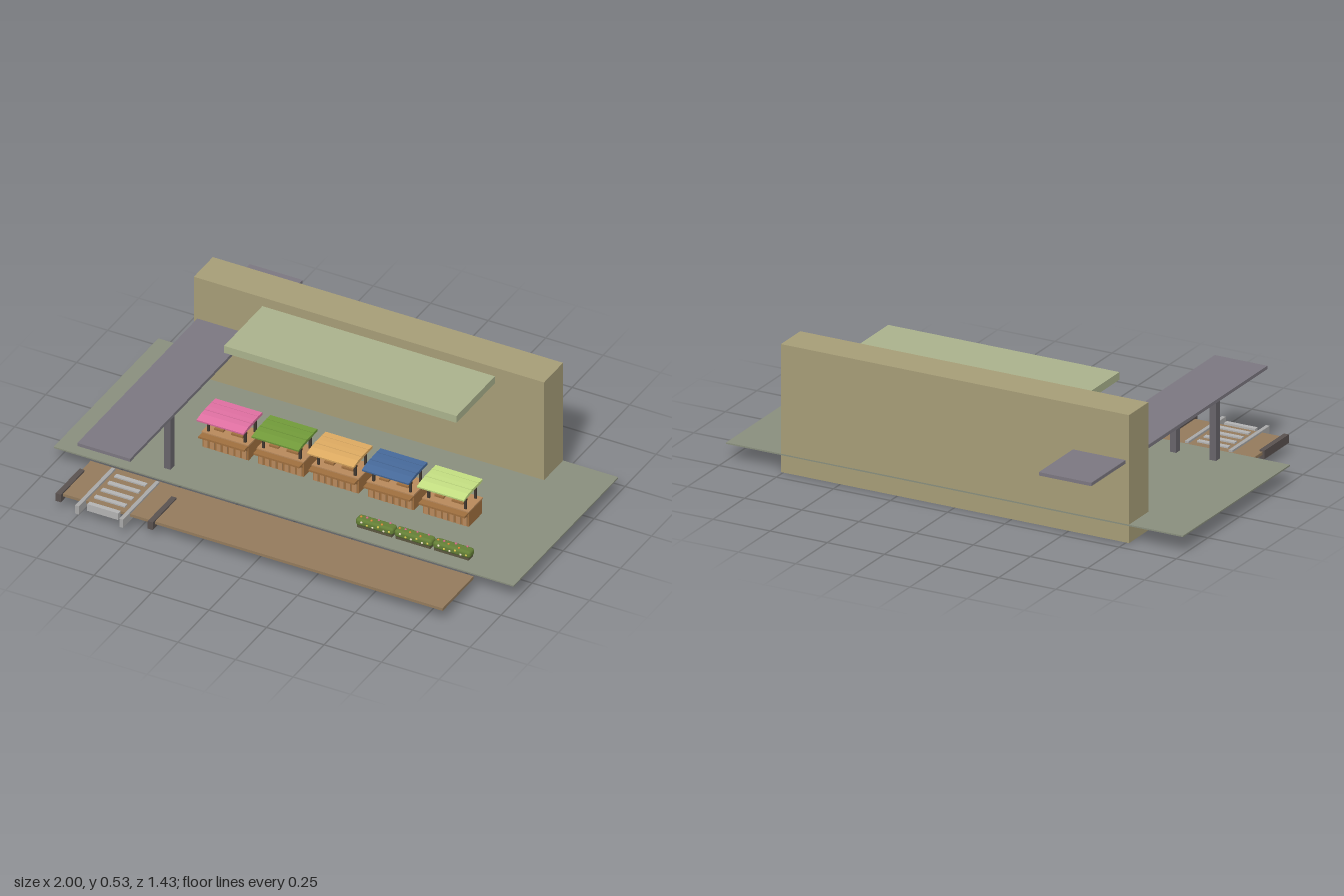
import * as THREE from 'three';
import { RoundedBoxGeometry } from 'three/addons/geometries/RoundedBoxGeometry.js';

const materials = new Map();
function paint(color) {
  if (!materials.has(color)) materials.set(color, new THREE.MeshStandardMaterial({ color }));
  return materials.get(color);
}

// Box given by its extents on each axis
function box(parent, name, [x0, x1], [y0, y1], [z0, z1], color) {
  const mesh = new THREE.Mesh(new THREE.BoxGeometry(x1 - x0, y1 - y0, z1 - z0), paint(color));
  mesh.position.set((x0 + x1) / 2, (y0 + y1) / 2, (z0 + z1) / 2);
  mesh.name = name;
  parent.add(mesh);
  return mesh;
}

function group(parent, name) {
  const g = new THREE.Group();
  g.name = name;
  parent.add(g);
  return g;
}

// Prism along x from a (z, y) outline
function prism(parent, name, points, width, color) {
  const shape = new THREE.Shape(points.map(([z, y]) => new THREE.Vector2(-z, y)));
  const geo = new THREE.ExtrudeGeometry(shape, { depth: width, bevelEnabled: false });
  geo.translate(0, 0, -width / 2).rotateY(Math.PI / 2);
  const mesh = new THREE.Mesh(geo, paint(color));
  mesh.name = name;
  parent.add(mesh);
  return mesh;
}

// Market stall centred on x = 0
function createStall(parent, color) {
  const stall = group(parent, 'marketStall');
  const wood = 0xa0703f, pale = 0xb98a5c, dark = 0x40382f;
  box(stall, 'counter', [-0.1, 0.1], [0.074, 0.147], [0.02, 0.126], wood);
  box(stall, 'counterTop', [-0.102, 0.102], [0.143, 0.149], [0.018, 0.132], pale);
  // Front slats
  for (let i = 0; i < 7; i++) {
    const x = -0.084 + i * 0.028;
    box(stall, 'frontSlat', [x - 0.009, x + 0.009], [0.08, 0.126], [0.126, 0.133], pale);
  }
  // Serving shelf with brackets
  box(stall, 'servingShelf', [-0.1, 0.1], [0.136, 0.144], [0.126, 0.162], wood);
  for (const s of [-1, 1]) {
    prism(stall, 'shelfBracket', [[0.126, 0.116], [0.126, 0.137], [0.15, 0.137]], 0.008, wood)
      .position.x = s * 0.09;
    for (const z of [0.036, 0.117])
      box(stall, 'post', [s * 0.08 - 0.005, s * 0.08 + 0.005], [0.147, 0.224], [z - 0.004, z + 0.004], dark);
  }
  // Goods on the counter
  for (const [x, w] of [[-0.045, 0.04], [0.035, 0.05]])
    box(stall, 'goodsTray', [x - w / 2, x + w / 2], [0.149, 0.157], [0.06, 0.1], wood);
  // Awning with a drooping front edge and raised seams
  prism(stall, 'awning', [[0.02, 0.224], [0.02, 0.235], [0.08, 0.236], [0.135, 0.234], [0.172, 0.226],
    [0.171, 0.219], [0.135, 0.221], [0.08, 0.224]], 0.204, color);
  for (const z of [0.05, 0.105])
    box(stall, 'awningSeam', [-0.102, 0.102], [0.234, 0.2375], [z - 0.003, z + 0.003], color);
  return stall;
}

// Flower planter centred on x = 0
function createPlanter(parent) {
  const planter = group(parent, 'flowerPlanter');
  box(planter, 'trough', [-0.076, 0.076], [0.074, 0.096], [0.294, 0.33], 0x5b5640);
  const leaves = new THREE.Mesh(new RoundedBoxGeometry(0.164, 0.032, 0.044, 2, 0.012), paint(0x647f36));
  leaves.position.set(0, 0.1, 0.312);
  leaves.name = 'foliage';
  planter.add(leaves);
  const petals = [0xd98a3a, 0xe6dcc0, 0xd46a86, 0xd8c850];
  const bloom = new THREE.IcosahedronGeometry(0.005, 1);
  for (let i = 0; i < 12; i++) {
    const flower = new THREE.Mesh(bloom, paint(petals[i % 4]));
    const onTop = i % 2 === 0;
    flower.position.set(-0.066 + i * 0.012, onTop ? 0.116 : 0.1 + 0.006 * Math.sin(i * 2),
      onTop ? 0.312 + 0.013 * Math.sin(i * 1.7) : 0.333);
    flower.name = 'flower';
    planter.add(flower);
  }
  return planter;
}

export function createModel() {
  const model = new THREE.Group();
  model.name = 'stationMarket';

  // Plaza and main building
  box(model, 'plaza', [-1, 1], [0.07, 0.076], [-0.445, 0.398], 0x8a8f7e);
  box(model, 'building', [-0.763, 0.76], [0, 0.527], [-0.445, -0.292], 0xa79e78);
  box(model, 'buildingCanopy', [-0.465, 0.546], [0.455, 0.487], [-0.292, 0.017], 0xabb38d);

  // Elevated walkway on two columns
  const walkway = group(model, 'walkway');
  box(walkway, 'walkwayDeck', [-0.748, -0.518], [0.325, 0.339], [-0.715, 0.675], 0x7c7881);
  for (const x of [-0.72, -0.546])
    box(walkway, 'walkwayColumn', [x - 0.014, x + 0.014], [0.074, 0.326], [0.294, 0.325], 0x68656b);

  // Boardwalk with dark kerbs
  box(model, 'boardwalk', [-0.835, 0.83], [0.057, 0.069], [0.406, 0.655], 0x947b5d);
  for (const x of [-0.832, -0.432])
    box(model, 'kerb', [x - 0.011, x + 0.011], [0.04, 0.075], [0.48, 0.673], 0x5a5250);

  // Ladder-like track
  const track = group(model, 'track');
  for (const x of [-0.729, -0.537])
    box(track, 'trackRail', [x - 0.008, x + 0.008], [0.039, 0.077], [0.418, 0.713], 0xa9a9a9);
  for (let i = 0; i < 5; i++) {
    const z = 0.455 + i * 0.054;
    box(track, 'trackRung', [-0.702, -0.567], [0.044, 0.075], [z - 0.01, z + 0.01], 0xb4b4b4);
  }

  // Row of stalls
  [0xe070a2, 0x729b3a, 0xdeab62, 0x476a9b, 0xc4df82].forEach((color, i) => {
    createStall(model, color).position.x = -0.399 + i * 0.2395;
  });

  // Row of planters
  for (let i = 0; i < 3; i++) createPlanter(model).position.x = 0.357 + i * 0.1675;

  return model;
}
